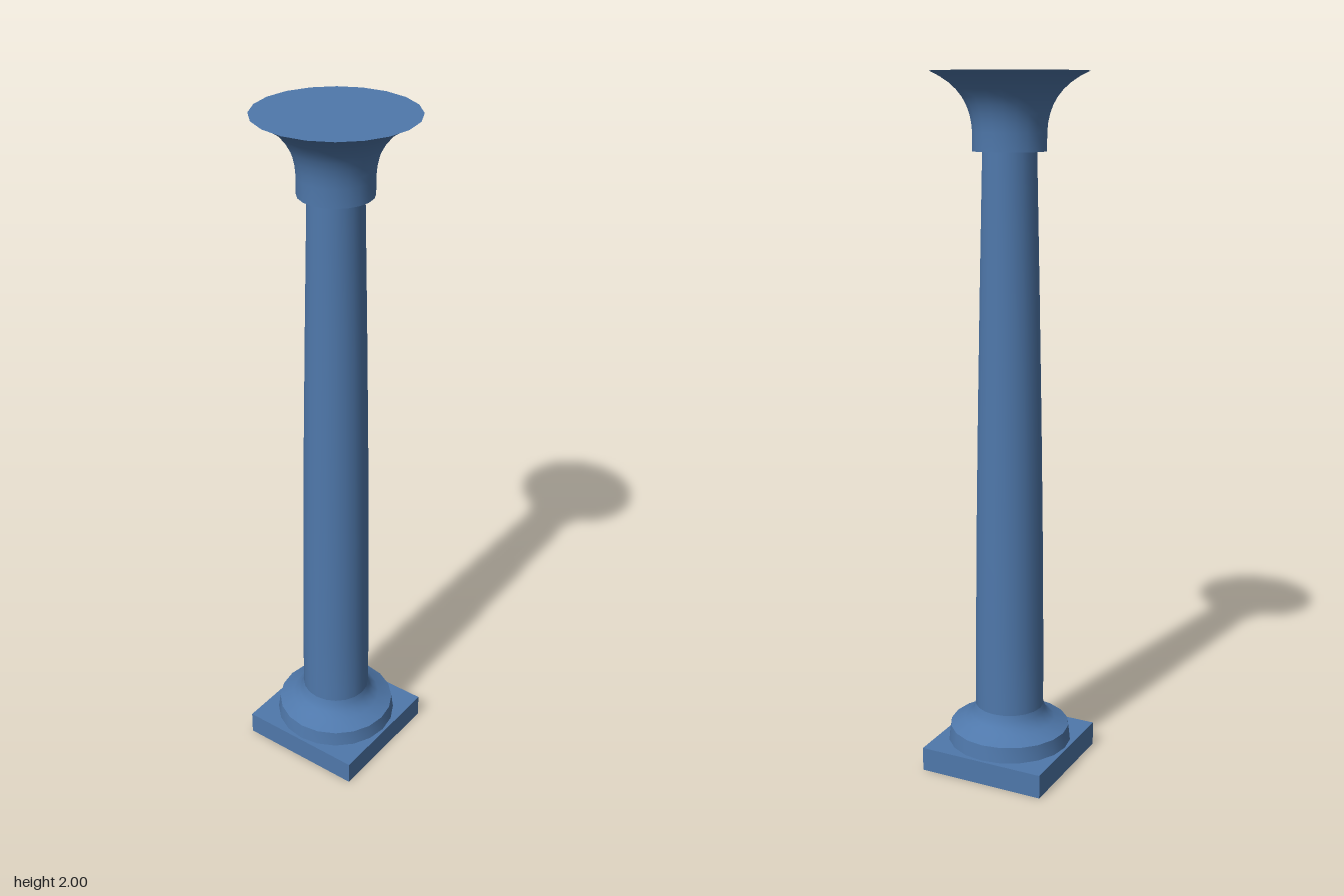
import * as THREE from 'three';
import { toCreasedNormals } from 'three/addons/utils/BufferGeometryUtils.js';

const SIDES = 20;
const material = new THREE.MeshStandardMaterial({ color: 0x4f78ab, side: THREE.DoubleSide });

// Round part turned from [radius, height] points, listed bottom to top
function turned(name, profile) {
  const points = profile.map(([r, y]) => new THREE.Vector2(r, y));
  const geometry = toCreasedNormals(new THREE.LatheGeometry(points, SIDES), 0.5);
  const mesh = new THREE.Mesh(geometry, material);
  mesh.name = name;
  return mesh;
}

// Square block, hollow from below
function plinthMesh(size, height) {
  const box = new THREE.BoxGeometry(size, height, size);
  const index = Array.from(box.index.array);
  index.splice(18, 6); // drop the underside
  box.setIndex(index);
  box.translate(0, height / 2, 0);
  const mesh = new THREE.Mesh(box, material);
  mesh.name = 'plinth';
  return mesh;
}

export function createModel() {
  const column = new THREE.Group();
  column.name = 'column';

  column.add(plinthMesh(0.38, 0.07));

  // Round foot: short drum, then a concave sweep into the shaft
  column.add(turned('base', [
    [0.182, 0.07], [0.176, 0.115], [0.134, 0.134], [0.116, 0.148], [0.106, 0.165], [0.101, 0.18],
  ]));

  // Shaft with a gentle swelling taper
  column.add(turned('shaft', [
    [0.101, 0.165], [0.1, 0.4], [0.096, 0.75], [0.091, 1.05], [0.084, 1.4], [0.075, 1.8],
  ]));

  // Flared capital: flat underside, straight neck, trumpet curve and flat top
  const flare = new THREE.CubicBezierCurve(
    new THREE.Vector2(0.102, 1.84), new THREE.Vector2(0.105, 1.91),
    new THREE.Vector2(0.135, 1.965), new THREE.Vector2(0.218, 2),
  ).getPoints(8).map((p) => [p.x, p.y]);
  column.add(turned('capital', [[0.07, 1.79], [0.102, 1.79], ...flare, [0, 2]]));

  return column;
}
